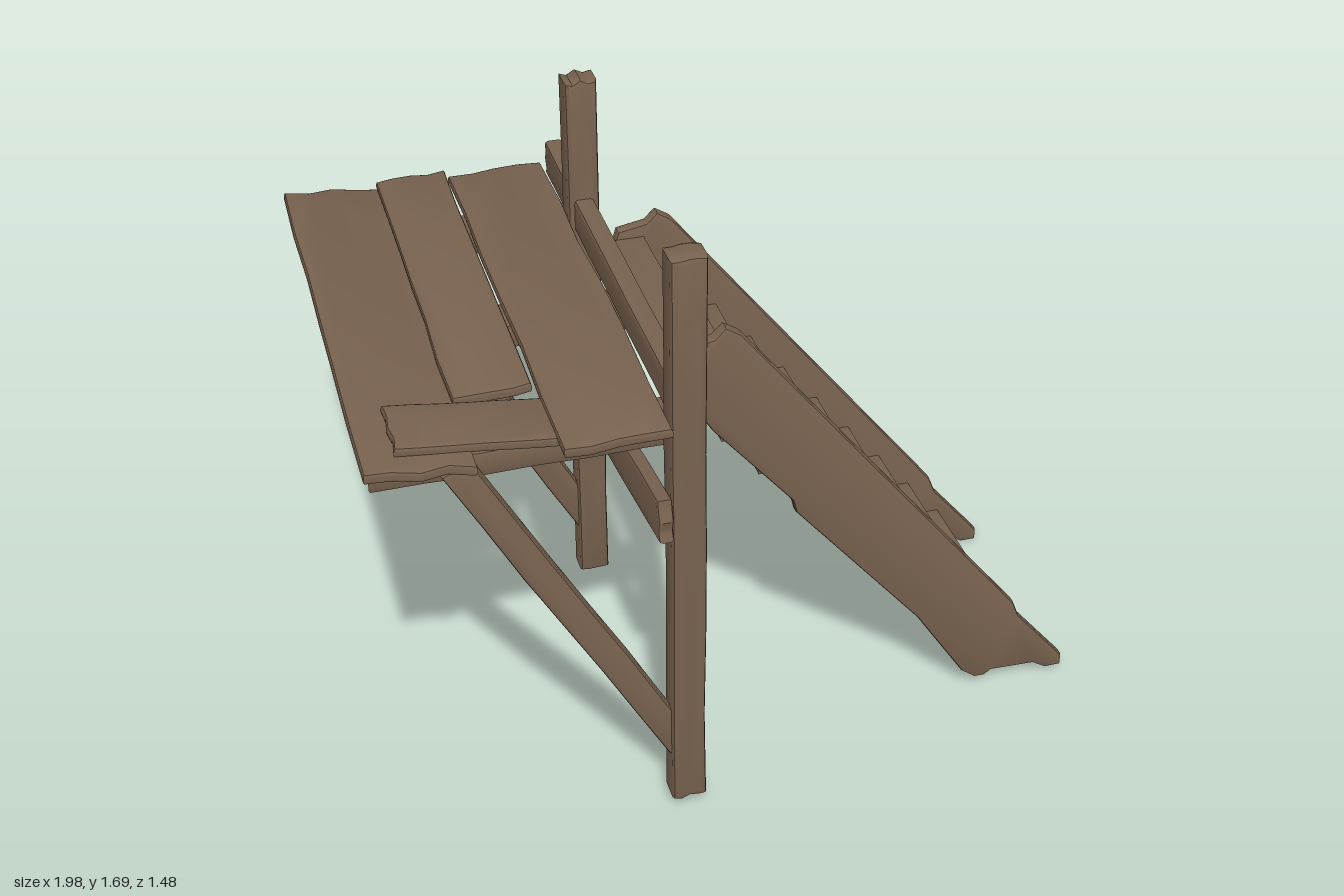
import * as THREE from 'three';
import { toCreasedNormals } from 'three/addons/utils/BufferGeometryUtils.js';

const V = (x, y, z) => new THREE.Vector3(x, y, z);
const X = V(1, 0, 0), Y = V(0, 1, 0), Z = V(0, 0, 1);

export function createModel() {
  const model = new THREE.Group();
  model.name = 'platformWithStairs';
  const wood = new THREE.MeshStandardMaterial({ color: 0x78624f });
  wood.name = 'weathered wood';

  let seed = 7;
  const wobble = (amount) => {
    seed = (seed * 16807) % 2147483647;
    return (seed / 2147483647 - 0.5) * 2 * amount;
  };

  // Closed outline with softened edges, centred on its thickness
  function plate(points, thick, bevel) {
    const geo = new THREE.ExtrudeGeometry(new THREE.Shape(points.map(([x, y]) => new THREE.Vector2(x, y))), {
      depth: thick - 2 * bevel, bevelEnabled: true, bevelThickness: bevel,
      bevelSize: bevel, bevelOffset: -bevel, bevelSegments: 2,
    });
    geo.translate(0, 0, bevel - thick / 2);
    return toCreasedNormals(geo, 0.7);
  }

  // Rough plank from p to q; axis is the direction of its thickness
  function plank(name, p, q, width, thick, axis, rough = 0.008, bevel = 0.01) {
    const dir = q.clone().sub(p), len = dir.length(), pts = [];
    dir.normalize();
    const h = width / 2, n = 6;
    for (let i = 0; i <= n; i++) pts.push([len * i / n, -h + wobble(rough / 3)]);
    for (let i = 1; i < 4; i++) pts.push([len + wobble(rough), -h + width * i / 4]);
    for (let i = n; i >= 0; i--) pts.push([len * i / n, h + wobble(rough / 3)]);
    for (let i = 3; i > 0; i--) pts.push([wobble(rough), -h + width * i / 4]);
    const mesh = new THREE.Mesh(plate(pts, thick, bevel), wood);
    const side = axis.clone().cross(dir).normalize();
    const normal = dir.clone().cross(side);
    mesh.matrix.makeBasis(dir, side, normal).setPosition(p);
    mesh.matrix.decompose(mesh.position, mesh.quaternion, mesh.scale);
    mesh.name = name;
    model.add(mesh);
  }

  // Two tall posts, each with a diagonal brace under the deck
  for (const [z, bottom, top] of [[0.655, 0.05, 1.7], [-0.4, 0.035, 1.67]]) {
    plank('post', V(-0.205, bottom, z), V(-0.205, top, z), 0.09, 0.085, Z, 0.008, 0.014);
    plank('brace', V(-0.77, 1.22, z), V(-0.21, 0.2, z), 0.08, 0.05, Z);
  }

  // Rail between the posts and sloping cross brace behind them
  plank('rail', V(-0.205, 1.27, 0.68), V(-0.205, 1.27, -0.735), 0.1, 0.055, X);
  plank('crossBrace', V(-0.27, 0.99, 0.71), V(-0.27, 0.805, -0.43), 0.12, 0.04, X);

  // Joists under the deck
  for (const z of [0.55, 0.005, -0.51]) {
    plank('joist', V(-0.965, 1.175, z), V(-0.16, 1.175, z), 0.12, 0.07, Y);
  }

  // Loose deck boards, each tilted a little
  const tilt = (a) => V(-Math.sin(a), Math.cos(a), 0);
  plank('outerDeckBoard', V(-0.855, 1.245, -0.72), V(-0.855, 1.25, 0.725), 0.27, 0.03, tilt(-0.1), 0.016);
  plank('middleDeckBoard', V(-0.632, 1.265, -0.71), V(-0.632, 1.265, 0.46), 0.2, 0.03, tilt(0.06), 0.01);
  plank('innerDeckBoard', V(-0.385, 1.25, -0.715), V(-0.385, 1.25, 0.725), 0.27, 0.03, tilt(0.03), 0.014);
  plank('shortDeckBoard', V(-0.905, 1.28, 0.565), V(-0.49, 1.232, 0.565), 0.19, 0.028, Y);

  // Stair stringers
  const profile = [
    [-0.16, 1.17], [-0.07, 1.03], [0.15, 0.77], [0.16, 0.73], [0.53, 0.29], [0.68, 0.06], [0.72, 0.03],
    [0.75, 0.03], [0.77, 0.045], [0.9, 0.04], [0.94, 0.015], [0.99, 0.015], [0.99, 0.05], [0.84, 0.23],
    [0.82, 0.28], [0.35, 0.87], [0.0, 1.31], [-0.04, 1.335], [-0.07, 1.305], [-0.15, 1.29], [-0.165, 1.24],
  ];
  for (const [z, lift] of [[0.425, 0.01], [-0.218, 0]]) {
    const stringer = new THREE.Mesh(plate(profile, 0.04, 0.01), wood);
    stringer.name = 'stringer';
    stringer.position.set(0, lift, z);
    model.add(stringer);
  }

  // Ten treads
  for (let i = 0; i < 10; i++) {
    const depth = i === 9 ? 0.12 : 0.175;
    const x = 0.855 - 0.1033 * i - depth / 2, y = 0.14 + 0.1233 * i;
    plank('tread', V(x, y, 0.415), V(x, y, -0.205), depth, 0.04, Y, 0.004);
  }

  return model;
}
